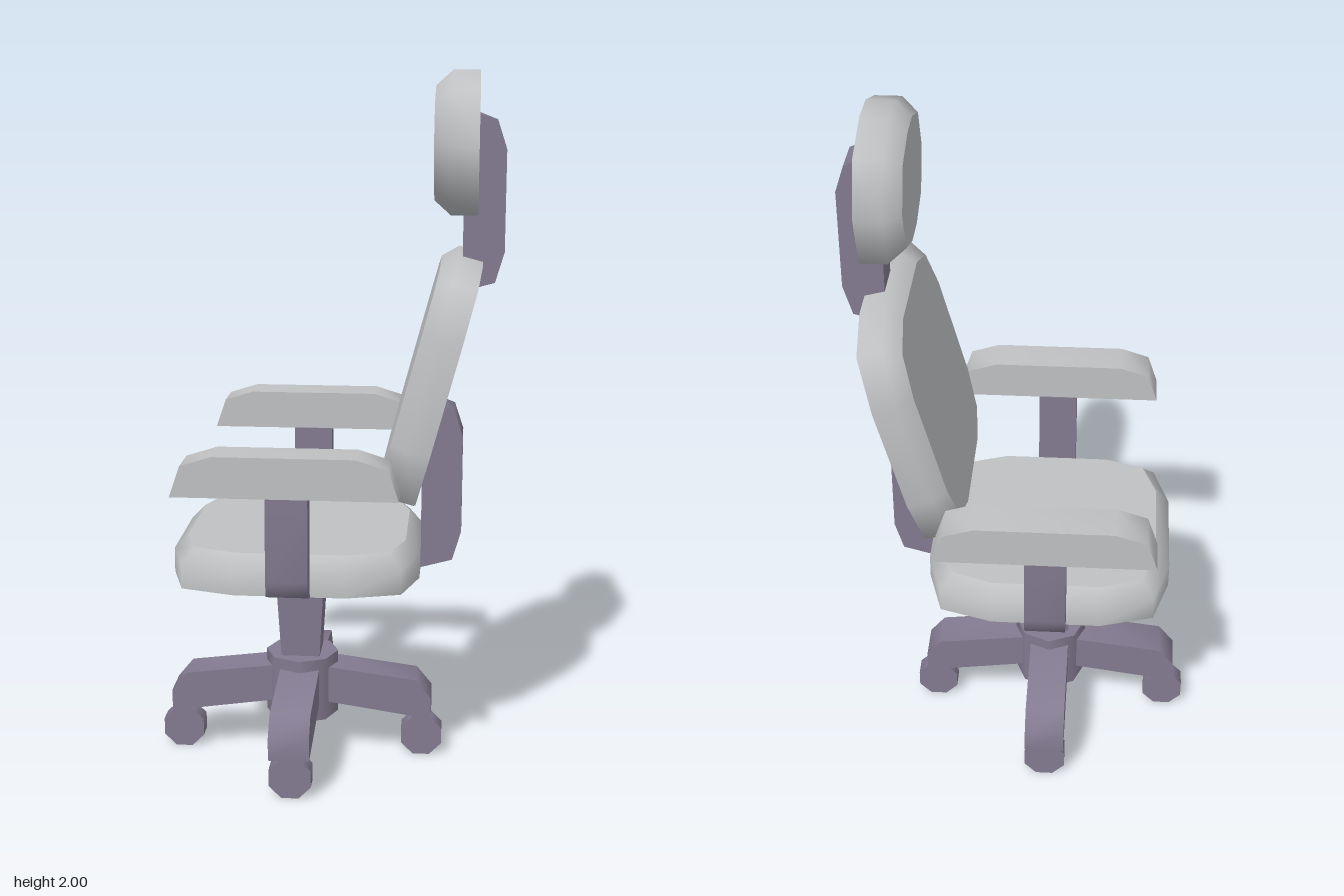
import * as THREE from 'three';
import { toCreasedNormals } from 'three/addons/utils/BufferGeometryUtils.js';

const CX = -0.08; // centre line of the base and seat

// Mirror a quarter outline (from the x axis towards z) into a closed ring
function fullRing(quarter) {
  const back = [...quarter].reverse();
  const points = [
    ...quarter,
    ...back.map(([x, z]) => [-x, z]),
    ...quarter.map(([x, z]) => [-x, -z]),
    ...back.map(([x, z]) => [x, -z]),
  ];
  return points.filter(([x, z], i) => {
    const [px, pz] = points[(i + points.length - 1) % points.length];
    return Math.hypot(x - px, z - pz) > 1e-6;
  });
}

// Padded cushion lying flat: smooth rim, bevelled upper edge, sharp flat caps
function cushionGeometry(outer, inner, rimHeight, height) {
  const base = fullRing(outer), top = fullRing(inner), n = base.length;
  const positions = [], index = [];
  const addRing = (ring, y) => ring.forEach(([x, z]) => positions.push(x, y, z));
  addRing(base, 0);
  addRing(base, rimHeight);
  addRing(top, height);
  for (let k = 0; k < 2; k++) {
    for (let i = 0; i < n; i++) {
      const a = k * n + i, b = k * n + (i + 1) % n;
      index.push(a, a + n, b, b, a + n, b + n);
    }
  }
  addRing(base, 0);
  addRing(top, height);
  for (let i = 1; i < n - 1; i++) {
    index.push(3 * n, 3 * n + i, 3 * n + i + 1);
    index.push(4 * n, 4 * n + i + 1, 4 * n + i);
  }
  const geometry = new THREE.BufferGeometry();
  geometry.setAttribute('position', new THREE.Float32BufferAttribute(positions, 3));
  geometry.setIndex(index);
  geometry.computeVertexNormals();
  return geometry;
}

// Side profile extruded to a width, centred on z = 0, gentle corners smoothed
function profileGeometry(points, width) {
  const shape = new THREE.Shape(points.map(([x, y]) => new THREE.Vector2(x, y)));
  const geometry = new THREE.ExtrudeGeometry(shape, { depth: width, bevelEnabled: false });
  geometry.translate(0, 0, -width / 2);
  return toCreasedNormals(geometry, 1.15);
}

export function createModel() {
  const group = new THREE.Group();
  const padding = new THREE.MeshStandardMaterial({ color: 0xbfc1c3 });
  padding.name = 'paleGreyPadding';
  const frame = new THREE.MeshStandardMaterial({ color: 0x837b91 });
  frame.name = 'mauveFrame';

  const add = (name, geometry, material, x = 0, y = 0, z = 0) => {
    const mesh = new THREE.Mesh(geometry, material);
    mesh.name = name;
    mesh.position.set(x, y, z);
    group.add(mesh);
    return mesh;
  };

  // Seat and reclined backrest share one cushion shape
  const cushion = cushionGeometry(
    [[0.35, 0.155], [0.305, 0.305], [0.155, 0.35]],
    [[0.31, 0.155], [0.27, 0.27], [0.155, 0.31]], 0.07, 0.11);
  add('seat', cushion, padding, CX, 0.595);
  add('backrest', cushion, padding, 0.34, 1.145).rotation.z = THREE.MathUtils.degToRad(75);

  // Headrest
  const head = cushionGeometry(
    [[0.195, 0.055], [0.145, 0.2], [0, 0.253]],
    [[0.155, 0.05], [0.115, 0.165], [0, 0.213]], 0.075, 0.12);
  add('headrest', head, padding, 0.415, 1.805).rotation.z = Math.PI / 2;

  // Matching brackets behind the backrest and headrest
  const bracket = profileGeometry([
    [0, 0], [0.09, 0.025], [0.115, 0.11], [0.115, 0.39], [0.09, 0.465], [0.04, 0.485], [0, 0.485],
  ], 0.115);
  add('backBracket', bracket, frame, 0.27, 0.595);
  add('headBracket', bracket, frame, 0.375, 1.4);

  // Armrests and their posts
  const armPad = profileGeometry([
    [-0.304, 0], [0.304, 0], [0.275, 0.085], [0.19, 0.112], [-0.19, 0.112], [-0.275, 0.085],
  ], 0.115);
  const armPost = profileGeometry([
    [0.35, 0.595], [0.4, 0.61], [0.41, 0.655], [0.41, 0.905], [0.35, 0.905],
  ], 0.115);
  for (const side of [1, -1]) {
    const label = side > 0 ? 'left' : 'right';
    add(label + 'Armrest', armPad, padding, CX, 0.904, side * 0.411);
    add(label + 'ArmPost', armPost, frame, CX).rotation.y = -side * Math.PI / 2;
  }

  // Tapered square column and round hub
  const column = new THREE.CylinderGeometry(0.0725 * Math.SQRT2, 0.056 * Math.SQRT2, 0.295, 4);
  column.rotateY(Math.PI / 4);
  add('column', toCreasedNormals(column, 0.5), frame, CX, 0.4475);
  add('hub', new THREE.CylinderGeometry(0.107, 0.107, 0.19, 8), frame, CX, 0.215);

  // Four splayed legs
  const leg = profileGeometry([
    [0.04, 0.175], [0.385, 0.125], [0.385, 0.19], [0.34, 0.245], [0.107, 0.275], [0.04, 0.28],
  ], 0.115);
  for (let i = 0; i < 4; i++) add('leg', leg, frame, CX).rotation.y = i * Math.PI / 2;

  // Eight-sided casters, all rolling forwards
  const caster = new THREE.CylinderGeometry(0.0645, 0.0645, 0.056, 8);
  caster.rotateY(Math.PI / 8);
  caster.rotateX(Math.PI / 2);
  for (const [x, z] of [[0.357, 0], [-0.357, 0], [0, 0.329], [0, -0.329]]) {
    add('caster', caster, frame, CX + x, 0.06, z);
  }

  return group;
}
